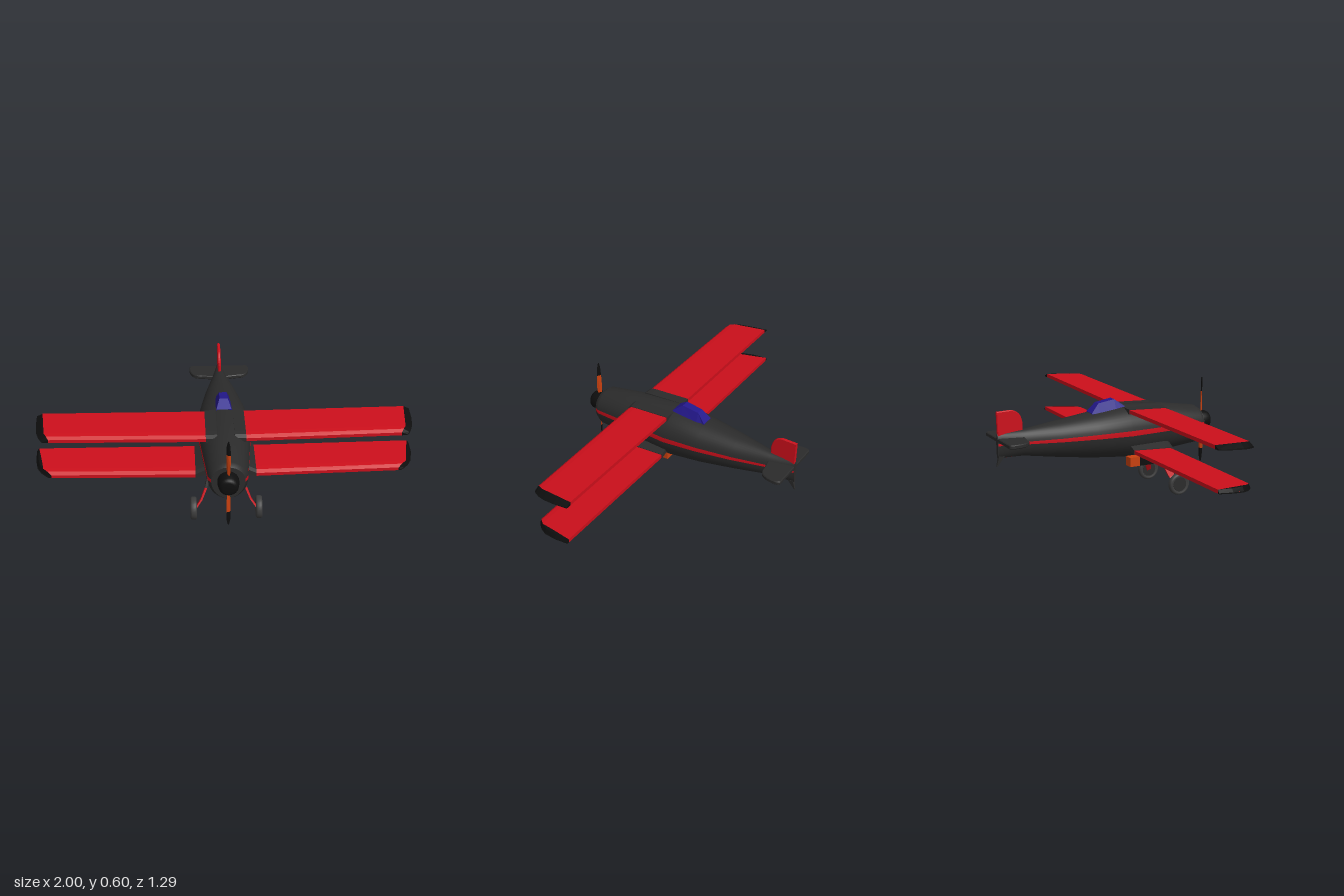
import * as THREE from 'three';

const mat = (color, side = THREE.FrontSide) => new THREE.MeshStandardMaterial({ color, side });
const DARK = mat(0x2b2b2b), BLACK = mat(0x0e0e0e), RED = mat(0xcc0f1b), BLUE = mat(0x24188c),
  ORANGE = mat(0xc8400f), TYRE = mat(0x3c3c3c);

function add(parent, name, geometry, material, x = 0, y = 0, z = 0) {
  const mesh = new THREE.Mesh(geometry, material);
  mesh.name = name;
  mesh.position.set(x, y, z);
  parent.add(mesh);
  return mesh;
}

// Smooth open skin through rows of [x, y, z] points
function skin(rows) {
  const n = rows[0].length, idx = [];
  for (let i = 0; i < rows.length - 1; i++) for (let j = 0; j < n - 1; j++) {
    const a = i * n + j, b = a + n;
    idx.push(a, b, a + 1, b, b + 1, a + 1);
  }
  const g = new THREE.BufferGeometry();
  g.setAttribute('position', new THREE.Float32BufferAttribute(rows.flat(2), 3));
  g.setIndex(idx);
  g.computeVertexNormals();
  return g;
}

// Flat-faced capped solid through closed rings, turned outward by its signed volume
function solid(rings) {
  const n = rings[0].length, tris = [], last = rings.length - 1;
  for (let i = 0; i < last; i++) for (let j = 0; j < n; j++) {
    const k = (j + 1) % n, A = rings[i], B = rings[i + 1];
    tris.push([A[j], B[j], A[k]], [B[j], B[k], A[k]]);
  }
  for (let j = 1; j < n - 1; j++) {
    tris.push([rings[0][0], rings[0][j], rings[0][j + 1]]);
    tris.push([rings[last][0], rings[last][j + 1], rings[last][j]]);
  }
  const v = p => new THREE.Vector3(...p);
  const volume = tris.reduce((s, [a, b, c]) => s + v(a).dot(v(b).cross(v(c))), 0);
  if (volume < 0) tris.forEach(t => t.reverse());
  const g = new THREE.BufferGeometry();
  g.setAttribute('position', new THREE.Float32BufferAttribute(tris.flat(2), 3));
  g.computeVertexNormals();
  return g;
}

// Fuselage stations: z, top, bottom, half width, waist height
const STATIONS = [
  [0.572, 0.436, 0.258, 0.086, 0.361], [0.548, 0.453, 0.241, 0.102, 0.362],
  [0.345, 0.485, 0.222, 0.122, 0.368], [0.09, 0.502, 0.212, 0.145, 0.371],
  [-0.1, 0.477, 0.23, 0.126, 0.37], [-0.3, 0.453, 0.258, 0.09, 0.367],
  [-0.49, 0.43, 0.288, 0.045, 0.365], [-0.632, 0.419, 0.29, 0.012, 0.364],
];

function buildFuselage() {
  const g = new THREE.Group();
  g.name = 'fuselage';
  const point = ([z, t, b, w, m], a) =>
    [w * Math.cos(a), m + (Math.sin(a) > 0 ? t - m : m - b) * Math.sin(a), z];
  const arc = (from, to, n) => STATIONS.map(s =>
    Array.from({ length: n + 1 }, (_, i) => point(s, from + (to - from) * i / n)));
  const P = Math.PI, s = 0.1, k = 0.2;
  add(g, 'upperSkin', skin(arc(s, P - s, 20)), DARK);
  add(g, 'leftStripe', skin(arc(-s, s, 2)), RED);
  add(g, 'rightStripe', skin(arc(P - s, P + s, 2)), RED);
  add(g, 'rightLowerSkin', skin(arc(P + s, 1.5 * P - k, 9)), DARK);
  add(g, 'bellyStripe', skin(arc(1.5 * P - k, 1.5 * P + k, 3)), RED);
  add(g, 'leftLowerSkin', skin(arc(1.5 * P + k, 2 * P - s, 9)), DARK);
  // Flat nose plate and tail end
  const ends = [STATIONS[0], STATIONS[7]].map(st =>
    Array.from({ length: 32 }, (_, i) => point(st, i / 16 * P)));
  const plate = (ring, d) => solid([ring, ring.map(([x, y, z]) => [x, y, z + d])]);
  add(g, 'nosePlate', plate(ends[0], 0.002), DARK);
  add(g, 'tailPlate', plate(ends[1], -0.002), DARK);
  return g;
}

// One wing section ring; the leading corner is swept back by curve
const CHORD = [0, 0.35, 0.65, 0.82, 0.93, 1];
function wingRing(side, x, y, { curve = 0, thick = 1, grow = 0, front = 0.335 } = {}) {
  const at = (u, top) => {
    const low = 0.47 - 0.024 * u;
    const high = u < 0.93 ? 0.49 - 0.013 * u : 0.476 - 0.013 * (u - 0.93) / 0.07;
    const h = top ? low + (high - low) * thick + grow : low - grow;
    return [side * (x - curve * u ** 4), h + y + 0.008 * x, 0.09 - grow + u * (front - 0.09 + 2 * grow)];
  };
  return [...CHORD.map(u => at(u, true)), ...CHORD.map(u => at(u, false)).reverse()];
}

function buildWing(name, side, y, root, tip, bevel, curve, fairingX, fairingLift) {
  const g = new THREE.Group();
  g.name = name;
  const edge = { curve, front: 0.322 };
  const panelEnd = wingRing(side, tip - bevel, y, edge);
  add(g, 'wingPanel', solid([wingRing(side, root, y), panelEnd]), RED);
  add(g, 'wingTip', solid([panelEnd, wingRing(side, tip, y, { ...edge, thick: 0.25 })]), BLACK);
  add(g, 'rootFairing', solid([
    wingRing(side, fairingX, y + fairingLift, { grow: 0.006 }),
    wingRing(side, root + 0.004, y, { grow: 0.003 })]), DARK);
  return g;
}

function buildGear(side) {
  const g = new THREE.Group();
  g.name = side > 0 ? 'leftLandingGear' : 'rightLandingGear';
  const ring = (x, y, z, w, d) => [[-w, d], [w, d], [w, -d], [-w, -d]]
    .map(([dx, dz]) => [side * x + dx, y + dz * 0.35, z + dz]);
  const knee = ring(0.105, 0.16, 0.318, 0.006, 0.017);
  add(g, 'upperLeg', solid([ring(0.08, 0.25, 0.272, 0.01, 0.026), knee]), DARK);
  add(g, 'lowerLeg', solid([knee, ring(0.13, 0.1, 0.34, 0.005, 0.016),
    ring(0.162, 0.058, 0.362, 0.005, 0.012)]), RED);
  const profile = [[0, -0.012], [0.043, -0.012], [0.047, -0.017], [0.056, -0.016], [0.061, -0.008],
    [0.061, 0.008], [0.056, 0.016], [0.047, 0.017], [0.043, 0.012], [0, 0.012]];
  const tyre = new THREE.LatheGeometry(profile.map(p => new THREE.Vector2(...p)), 28).rotateZ(Math.PI / 2);
  add(g, 'wheel', tyre, TYRE, side * 0.172, 0.061, 0.362);
  add(g, 'wheelHub', new THREE.CylinderGeometry(0.04, 0.04, 0.027, 24).rotateZ(Math.PI / 2), DARK,
    side * 0.172, 0.061, 0.362);
  return g;
}

function buildPropeller() {
  const g = new THREE.Group();
  g.name = 'propeller';
  const profile = [[0, 0.078], [0.03, 0.078], [0.042, 0.073], [0.05, 0.06], [0.055, 0.03], [0.055, 0]];
  const spinner = new THREE.LatheGeometry(profile.reverse().map(p => new THREE.Vector2(...p)), 24);
  add(g, 'spinner', spinner.rotateX(Math.PI / 2), BLACK, 0, 0, -0.034);
  // Twisted blades, orange inside and black at the ends
  const ring = (r, w, twist) => [[-w, 0], [0, 0.004], [w, 0], [0, -0.004]].map(([a, b]) =>
    [a * Math.cos(twist) - b * Math.sin(twist), r, a * Math.sin(twist) + b * Math.cos(twist)]);
  const middle = ring(0.165, 0.0125, 0.5);
  for (let i = 0; i < 2; i++) {
    const blade = new THREE.Group();
    blade.name = 'blade';
    blade.rotation.z = i * Math.PI;
    add(blade, 'bladeInner', solid([ring(0.03, 0.009, 1), ring(0.09, 0.014, 0.8), middle]), ORANGE);
    add(blade, 'bladeTip', solid([middle, ring(0.215, 0.01, 0.35), ring(0.243, 0.003, 0.2)]), BLACK);
    g.add(blade);
  }
  g.position.set(0, 0.36, 0.604);
  return g;
}

function buildTail() {
  const g = new THREE.Group();
  g.name = 'tail';
  const slab = (shape, depth) => new THREE.ExtrudeGeometry(shape, { depth, bevelEnabled: true,
    bevelThickness: 0.004, bevelSize: 0.004, bevelOffset: -0.004, bevelSegments: 1, curveSegments: 8 })
    .translate(0, 0, -depth / 2);
  const fin = new THREE.Shape();
  fin.moveTo(0.49, 0.41).lineTo(0.49, 0.464).quadraticCurveTo(0.5, 0.535, 0.56, 0.54)
    .lineTo(0.637, 0.538).lineTo(0.632, 0.4);
  add(g, 'fin', slab(fin, 0.008).rotateY(Math.PI / 2), RED);
  const plane = new THREE.Shape();
  plane.moveTo(0, -0.632).lineTo(0.155, -0.632).quadraticCurveTo(0.171, -0.63, 0.171, -0.6)
    .quadraticCurveTo(0.168, -0.5, 0.1, -0.505).lineTo(0.03, -0.49).lineTo(-0.03, -0.49)
    .lineTo(-0.1, -0.505).quadraticCurveTo(-0.168, -0.5, -0.171, -0.6)
    .quadraticCurveTo(-0.171, -0.63, -0.155, -0.632);
  add(g, 'tailplane', slab(plane, 0.014).rotateX(Math.PI / 2), DARK, 0, 0.385, 0);
  const skid = (y, z, w, d) => [[-w, d], [w, d], [w, -d], [-w, -d]].map(([x, dz]) => [x, y, z + dz]);
  add(g, 'tailSkid', solid([skid(0.3, -0.612, 0.01, 0.016), skid(0.246, -0.637, 0.004, 0.003)]), DARK);
  return g;
}

function buildBellyGun() {
  const g = new THREE.Group();
  g.name = 'bellyGun';
  const box = (name, w, h, d, m, y, z) => add(g, name, new THREE.BoxGeometry(w, h, d), m, 0, y, z);
  box('gunMount', 0.022, 0.04, 0.045, BLACK, 0.21, 0.225);
  box('gunBody', 0.05, 0.052, 0.085, BLACK, 0.173, 0.243);
  box('gunRear', 0.05, 0.052, 0.062, ORANGE, 0.173, 0.17);
  const tube = (name, r, len, m, z) =>
    add(g, name, new THREE.CylinderGeometry(r, r, len, 14).rotateX(Math.PI / 2), m, 0, 0.171, z);
  tube('barrel', 0.007, 0.13, BLACK, 0.347);
  tube('barrelSleeve', 0.011, 0.045, BLACK, 0.3);
  tube('barrelRing', 0.012, 0.012, ORANGE, 0.384);
  return g;
}

export function createModel() {
  const plane = new THREE.Group();
  plane.name = 'biplane';
  plane.add(buildFuselage(), buildPropeller(), buildTail(), buildBellyGun());
  for (const side of [1, -1]) {
    const hand = side > 0 ? 'left' : 'right';
    plane.add(buildWing(hand + 'UpperWing', side, 0, 0.1, 0.985, 0.03, 0.045, 0.045, 0));
    plane.add(buildWing(hand + 'LowerWing', side, -0.212, 0.155, 1, 0.012, 0.08, 0.085, 0.035));
    plane.add(buildGear(side));
  }
  // Canopy from front foot to rear foot
  const ring = (z, y, w, base, bw) => [[-bw, base, z], [bw, base, z], [w, y, z], [-w, y, z]];
  add(plane, 'canopy', solid([ring(0.092, 0.502, 0.04, 0.48, 0.046), ring(0.04, 0.54, 0.022, 0.47, 0.05),
    ring(-0.055, 0.526, 0.02, 0.46, 0.046), ring(-0.1, 0.478, 0.034, 0.45, 0.038)]), BLUE);
  return plane;
}
